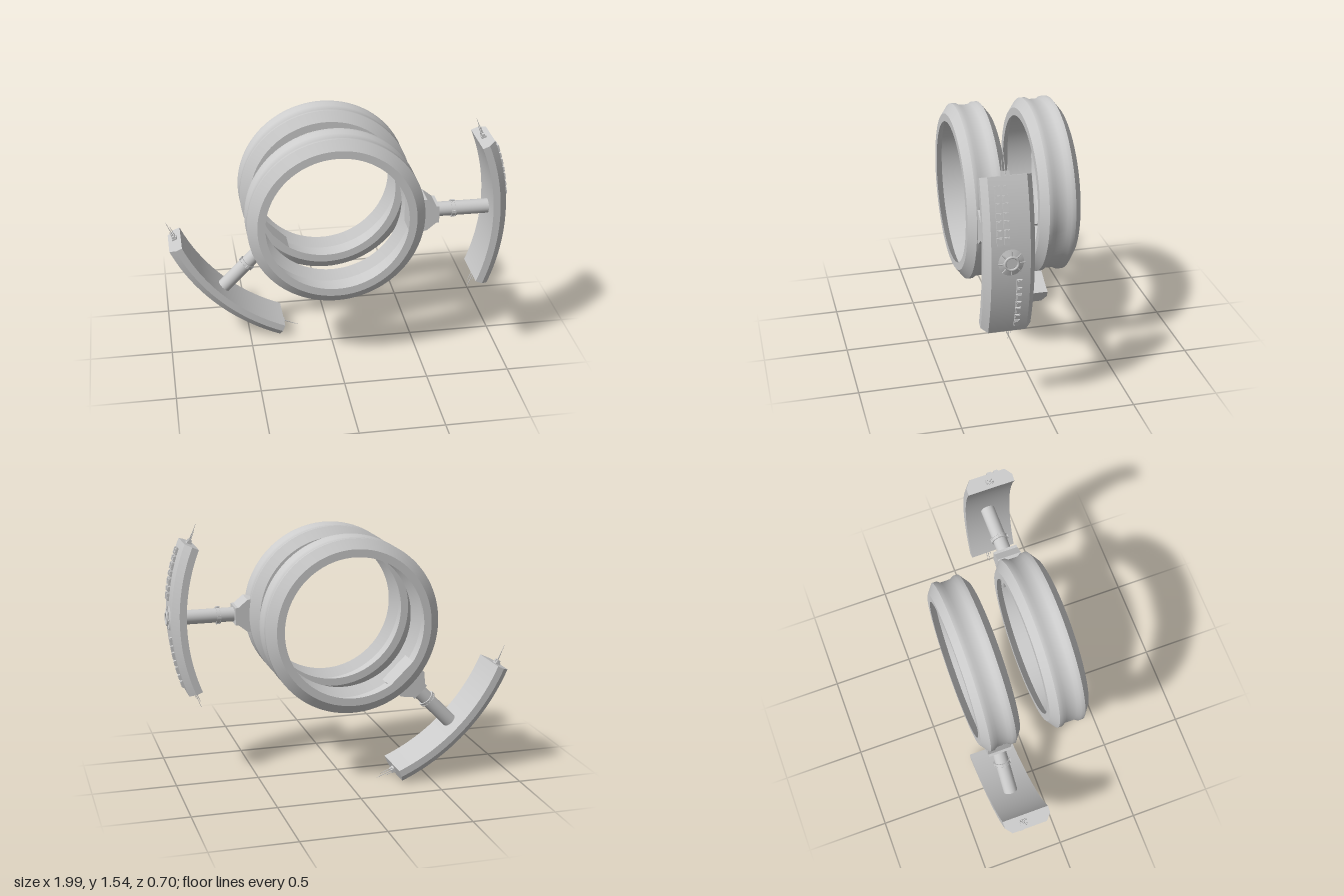
import * as THREE from 'three';
import { toCreasedNormals } from 'three/addons/utils/BufferGeometryUtils.js';

const material = new THREE.MeshStandardMaterial({ color: 0xcccccc });
const BEND_X = -0.245;   // centre of the shield's curve, measured from the ring's centre
const HALF_ARC = 0.382;
const FACE_R = 1.238;

function add(parent, name, geometry, x = 0, y = 0, z = 0) {
  const mesh = new THREE.Mesh(geometry, material);
  mesh.name = name;
  mesh.position.set(x, y, z);
  parent.add(mesh);
  return mesh;
}

function polygon(points) {
  return new THREE.Shape(points.map(([x, y]) => new THREE.Vector2(x, y)));
}

// Bevelled ring, grooved outside and hollowed into a channel inside
function ringGeometry() {
  const outer = [[0.465, -0.12], [0.521, -0.078], [0.521, -0.052], [0.508, -0.032],
    [0.508, 0.032], [0.521, 0.052], [0.521, 0.078], [0.465, 0.12]];
  const inner = [[0.419, 0.12], [0.473, 0.078], [0.473, -0.078], [0.419, -0.12]];
  const profile = [...outer, ...inner, outer[0]].map(([r, y]) => new THREE.Vector2(r, y));
  return toCreasedNormals(new THREE.LatheGeometry(profile, 96).rotateX(Math.PI / 2), 0.62);
}

// Chamfered section extruded along an angle, then bent into an arc
function shieldGeometry() {
  const section = polygon([
    [1.155, -0.141], [1.197, -0.141], [FACE_R, -0.107],
    [FACE_R, 0.107], [1.197, 0.141], [1.155, 0.141],
  ]);
  const geometry = new THREE.ExtrudeGeometry(section, { depth: 2 * HALF_ARC, steps: 32, bevelEnabled: false });
  const p = geometry.attributes.position;
  for (let i = 0; i < p.count; i++) {
    const r = p.getX(i), z = -p.getY(i), t = p.getZ(i) - HALF_ARC;
    p.setXYZ(i, BEND_X + r * Math.cos(t), r * Math.sin(t), z);
  }
  return toCreasedNormals(geometry, 0.4);
}

// A frame on the shield's arc: local x points outward, local y along the arc
function arcFrame(parent, name, angle, radius, z) {
  const frame = new THREE.Group();
  frame.name = name;
  frame.position.set(BEND_X + radius * Math.cos(angle), radius * Math.sin(angle), z);
  frame.rotation.z = angle;
  parent.add(frame);
  return frame;
}

// Column of long and short raised windows following the arc
function windowColumn(parent, z, side) {
  const gap = 0.007;
  let s = 0.105;
  for (let i = 0; i < 7; i++) {
    const length = i % 2 ? 0.034 : 0.044;
    const frame = arcFrame(parent, 'window', side * (s + length / 2) / FACE_R, FACE_R, z);
    add(frame, 'windowFrame', new THREE.BoxGeometry(0.022, length, 0.03));
    add(frame, 'windowPane', new THREE.BoxGeometry(0.03, length - 0.008, 0.022));
    s += length + gap;
  }
}

// Shallow dome with a ring and eight tapering spikes
function addHub(parent) {
  const hub = arcFrame(parent, 'hub', 0, FACE_R, 0);
  add(hub, 'hubDome', new THREE.CylinderGeometry(0.03, 0.076, 0.014, 40).rotateZ(-Math.PI / 2), 0.005);
  add(hub, 'hubRing', new THREE.TorusGeometry(0.037, 0.007, 8, 32).rotateY(Math.PI / 2), 0.014);
  for (let i = 0; i < 8; i++) {
    const spike = new THREE.CylinderGeometry(0.002, 0.005, 0.034, 6).translate(0, 0.057, 0);
    add(hub, 'hubSpike', spike, 0.01).rotation.x = i * Math.PI / 4;
  }
}

// Cluster of thin aerials on one end of the shield
function addAerials(parent, side, z) {
  const frame = arcFrame(parent, 'aerials', side * HALF_ARC, 1.195, z);
  const base = new THREE.Group();
  base.name = 'aerialBase';
  if (side < 0) base.rotation.x = Math.PI;
  frame.add(base);
  add(base, 'aerialPlinth', new THREE.BoxGeometry(0.03, 0.012, 0.046), 0, 0.004);
  for (const dz of [-0.013, 0.013]) {
    add(base, 'aerialSocket', new THREE.BoxGeometry(0.02, 0.03, 0.017), 0, 0.01, dz);
  }
  for (const [x, dz, length] of [[0, 0, 0.124], [-0.008, 0.013, 0.085], [0.006, -0.013, 0.065]]) {
    add(base, 'aerial', new THREE.CylinderGeometry(0.001, 0.0035, length, 6), x, length / 2, dz);
  }
}

// Mount, pole and curved shield, reaching out along +x from the ring's centre
function buildArm() {
  const arm = new THREE.Group();
  arm.name = 'arm';
  // The mount passes through the ring into its channel
  const mount = polygon([[0.43, -0.1], [0.53, -0.1], [0.588, -0.053], [0.605, -0.053],
    [0.605, 0.053], [0.588, 0.053], [0.53, 0.1], [0.43, 0.1]]);
  add(arm, 'mount', new THREE.ExtrudeGeometry(mount, { depth: 0.146, bevelEnabled: false }), 0, 0, -0.073);

  const disc = (r, length) => new THREE.CylinderGeometry(r, r, length, 32).rotateZ(Math.PI / 2);
  add(arm, 'pole', disc(0.043, 0.34), 0.76);
  add(arm, 'poleCollar', disc(0.047, 0.024), 0.7);
  for (const x of [0.69, 0.71]) add(arm, 'collarRim', disc(0.05, 0.005), x);
  for (let i = 0; i < 4; i++) {
    const clamp = add(arm, 'collarClamp', new THREE.BoxGeometry(0.024, 0.012, 0.014).translate(0, 0.048, 0), 0.7);
    clamp.rotation.x = i * Math.PI / 2;
  }

  add(arm, 'shield', shieldGeometry());
  windowColumn(arm, 0.062, 1);
  windowColumn(arm, 0.022, 1);
  windowColumn(arm, -0.046, -1);
  addHub(arm);
  addAerials(arm, 1, 0);
  addAerials(arm, -1, -0.025);
  return arm;
}

export function createModel() {
  const model = new THREE.Group();
  model.name = 'ringStation';
  // Two parallel rings, each with its arm turned a different way
  for (const [name, z, turn] of [['frontModule', 0.214, 0], ['backModule', -0.208, 225.7]]) {
    const unit = new THREE.Group();
    unit.name = name;
    unit.position.set(-0.015, 0.975, z);
    unit.rotation.z = THREE.MathUtils.degToRad(turn);
    add(unit, 'ring', ringGeometry());
    unit.add(buildArm());
    model.add(unit);
  }
  return model;
}
